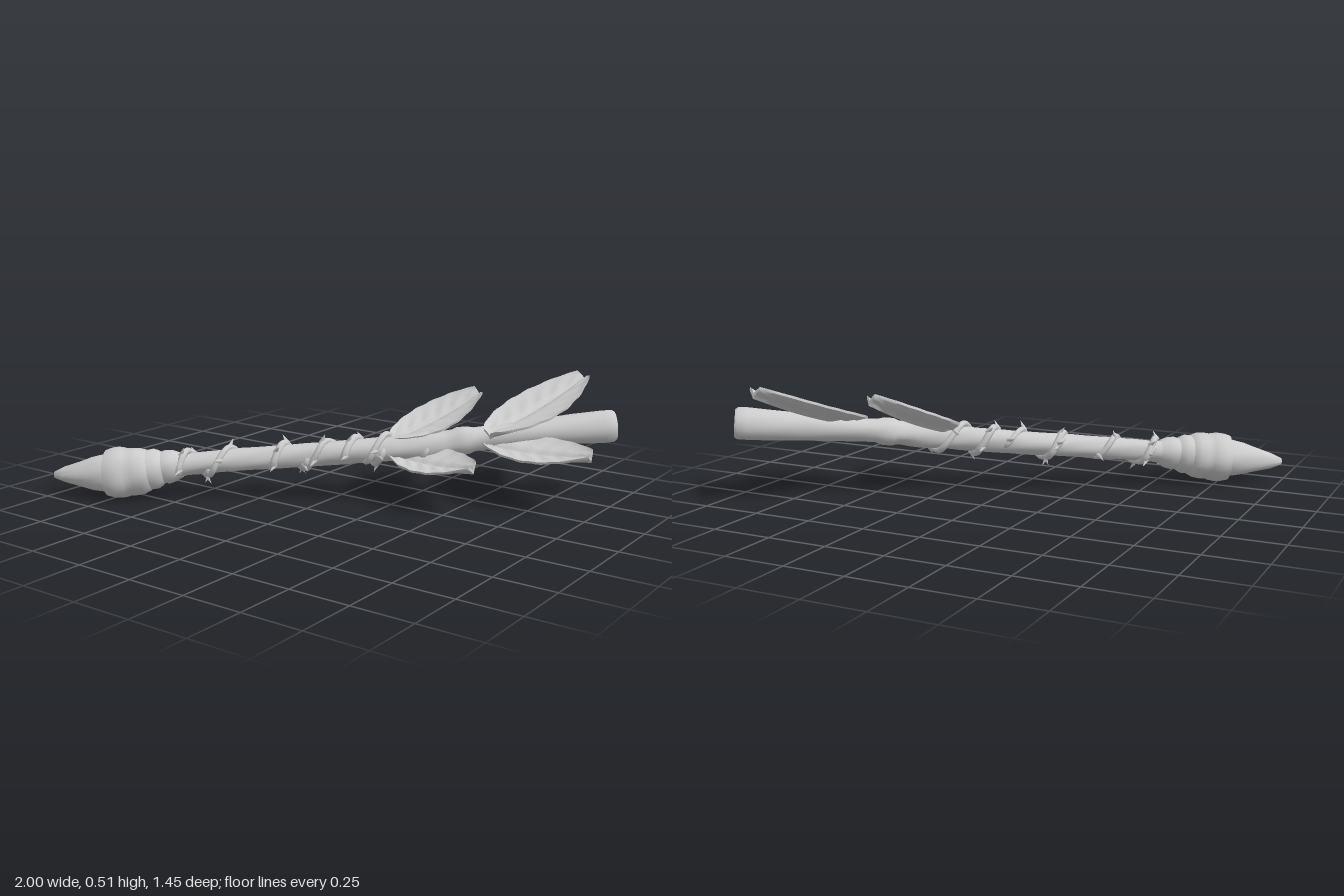
import * as THREE from 'three';
import { toCreasedNormals } from 'three/addons/utils/BufferGeometryUtils.js';

const material = new THREE.MeshStandardMaterial({ color: 0xcccccc, side: THREE.DoubleSide });
const V = (x, y, z) => new THREE.Vector3(x, y, z);

// Centre line of the staff, from the pointed end to the cut end
const spine = new THREE.CatmullRomCurve3([
  V(-1, 0.09, 0.71), V(-0.72, 0.115, 0.56), V(-0.5, 0.15, 0.405), V(0, 0.205, 0.08),
  V(0.3, 0.24, -0.1), V(0.52, 0.275, -0.27), V(0.96, 0.325, -0.6),
]);
const LENGTH = spine.getLength();

// Staff coordinates (up, along, sideways) to world position
function place(up, along, side) {
  const t = THREE.MathUtils.clamp(along / LENGTH, 0, 1);
  const T = spine.getTangentAt(t);
  const N = V(0, 1, 0).addScaledVector(T, -T.y).normalize();
  const B = N.clone().cross(T);
  return spine.getPointAt(t).addScaledVector(N, up).addScaledVector(B, side);
}
const around = (r, angle, along) => place(r * Math.cos(angle), along, r * Math.sin(angle));

function add(group, name, geometry) {
  const mesh = new THREE.Mesh(geometry, material);
  mesh.name = name;
  group.add(mesh);
  return mesh;
}

// Turned profile [radius, along] with woody lumps, laid on the spine
function turned(group, name, profile, lump, crease = 0.8) {
  const pts = profile.map(([r, s]) => new THREE.Vector2(r, s));
  const g = new THREE.LatheGeometry(pts, 28);
  const p = g.attributes.position;
  for (let i = 0; i < p.count; i++) {
    const x = p.getX(i), s = p.getY(i), z = p.getZ(i), a = Math.atan2(z, x);
    const k = 1 + lump * (Math.sin(3 * a + 9 * s) + 0.7 * Math.sin(5 * a - 23 * s) + 0.5 * Math.sin(2 * a + 41 * s));
    const q = place(x * k, s, z * k);
    p.setXYZ(i, q.x, q.y, q.z);
  }
  return add(group, name, toCreasedNormals(g, crease));
}

// Winding vine whose ends sink into the shaft, with thorns along it
function vine(group, start, end, angle, turns, r, thick, thorns) {
  const at = (t, extra = 0) => {
    const sink = Math.pow(Math.abs(2 * t - 1), 8) * 0.035;
    return around(r - sink + extra + 0.004 * Math.sin(t * 21), angle + turns * 2 * Math.PI * t, start + (end - start) * t);
  };
  const pts = [];
  for (let i = 0; i <= 28; i++) pts.push(at(i / 28));
  add(group, 'vine', new THREE.TubeGeometry(new THREE.CatmullRomCurve3(pts), 64, thick, 8));
  for (let i = 0; i < thorns; i++) {
    const t = (i + 0.6) / (thorns + 0.2);
    const g = new THREE.ConeGeometry(0.012, 0.045, 6);
    const thorn = add(group, 'thorn', g);
    thorn.position.copy(at(t, 0.02));
    const lean = spine.getTangentAt(0.5).multiplyScalar(i % 2 ? 0.5 : -0.5);
    const out = at(t, 0.05).sub(at(t)).normalize().add(lean).normalize();
    thorn.quaternion.setFromUnitVectors(V(0, 1, 0), out);
  }
}

// Cupped leaf with a midrib and slanted side veins
function leaf(group, name, base, tip, normal, halfWidth) {
  const g = new THREE.BoxGeometry(2, 1, 1, 20, 1, 36);
  const p = g.attributes.position;
  const axis = tip.clone().sub(base);
  const length = axis.length();
  axis.normalize();
  const n = normal.clone().addScaledVector(axis, -normal.dot(axis)).normalize();
  const side = n.clone().cross(axis);
  for (let i = 0; i < p.count; i++) {
    const u = p.getX(i), t = p.getZ(i) + 0.5, top = p.getY(i);
    const notch = 1 + 0.025 * Math.sin(t * 34);
    const w = halfWidth * notch * Math.pow(Math.sin(Math.PI * (0.04 + 0.91 * Math.pow(t, 0.92))), 0.7);
    const thick = 0.02 * (1 - 0.5 * u * u);
    const rib = -0.012 * Math.exp(-u * u * 60);
    const veins = 0.003 * Math.sin((t - 0.22 * Math.abs(u)) * 38) * Math.min(1, Math.abs(u) * 4) * (1 - u * u);
    const bow = 0.03 * Math.sin(Math.PI * t) * -0.5;
    const y = top * thick + rib + veins + 0.02 * u * u + bow;
    const q = base.clone().addScaledVector(side, u * w).addScaledVector(n, y).addScaledVector(axis, t * length);
    p.setXYZ(i, q.x, q.y, q.z);
  }
  add(group, name, toCreasedNormals(g, 0.9));
}

export function createModel() {
  const group = new THREE.Group();
  group.name = 'leafyStaff';

  // Pointed bud at the low end
  turned(group, 'budTip', [[0, 0], [0.014, 0.006], [0.033, 0.05], [0.053, 0.12], [0.069, 0.18],
    [0.079, 0.23], [0.08, 0.27], [0.06, 0.32]], 0.025);

  // Rimmed cup holding the bud, then stepped collars
  turned(group, 'budCup', [[0.06, 0.29], [0.084, 0.245], [0.098, 0.245], [0.106, 0.27], [0.108, 0.3],
    [0.103, 0.325], [0.099, 0.335], [0.1, 0.36], [0.098, 0.39], [0.087, 0.42], [0.07, 0.43]], 0.022);
  turned(group, 'collar', [[0.06, 0.41], [0.084, 0.42], [0.085, 0.45], [0.075, 0.47], [0.067, 0.48],
    [0.071, 0.5], [0.066, 0.53], [0.052, 0.56]], 0.015);

  // Shaft, swelling at the leaf joints and cut flat at the end
  const shaft = [[0.05, 0.45], [0.052, 0.54]];
  for (let s = 0.58; s < 1.52; s += 0.045) shaft.push([0.046 + 0.006 * (s - 0.58), s]);
  shaft.push([0.055, 1.55], [0.057, 1.6], [0.05, 1.66], [0.051, 1.7], [0.058, 1.72], [0.058, 1.76],
    [0.05, 1.79], [0.049, 1.85], [0.052, 1.95], [0.057, 2.08], [0.062, 2.2], [0.067, LENGTH - 0.05],
    [0.066, LENGTH - 0.012], [0.058, LENGTH], [0, LENGTH]);
  turned(group, 'shaft', shaft, 0.022);

  // Thorny vines: start, end, start angle, turns, radius, thickness, thorns
  [
    [0.53, 0.68, -2.6, 1.1, 0.052, 0.015, 5],
    [0.58, 0.86, 0.6, 1.4, 0.051, 0.013, 5],
    [0.93, 1.1, -2.8, 1.2, 0.051, 0.016, 6],
    [0.98, 1.25, 0.3, 1.3, 0.052, 0.013, 5],
    [1.23, 1.42, -2.4, 1.2, 0.054, 0.016, 6],
    [1.32, 1.6, -2.9, 1.25, 0.058, 0.014, 3],
  ].forEach((v) => vine(group, ...v));

  // Leaves: an upright rear leaf and a flatter front leaf at each joint
  leaf(group, 'lowerRearLeaf', V(0.22, 0.265, -0.06), V(0.43, 0.43, -0.4), V(0, 0.88, 0.47), 0.105);
  leaf(group, 'lowerFrontLeaf', V(0.22, 0.205, -0.05), V(0.61, 0.205, -0.04), V(0, 1, 0.3), 0.1);
  leaf(group, 'upperRearLeaf', V(0.57, 0.3, -0.24), V(0.76, 0.485, -0.72), V(0, 0.93, 0.36), 0.125);
  leaf(group, 'upperFrontLeaf', V(0.54, 0.255, -0.255), V(0.985, 0.25, -0.32), V(0, 1, 0.32), 0.1);

  return group;
}
